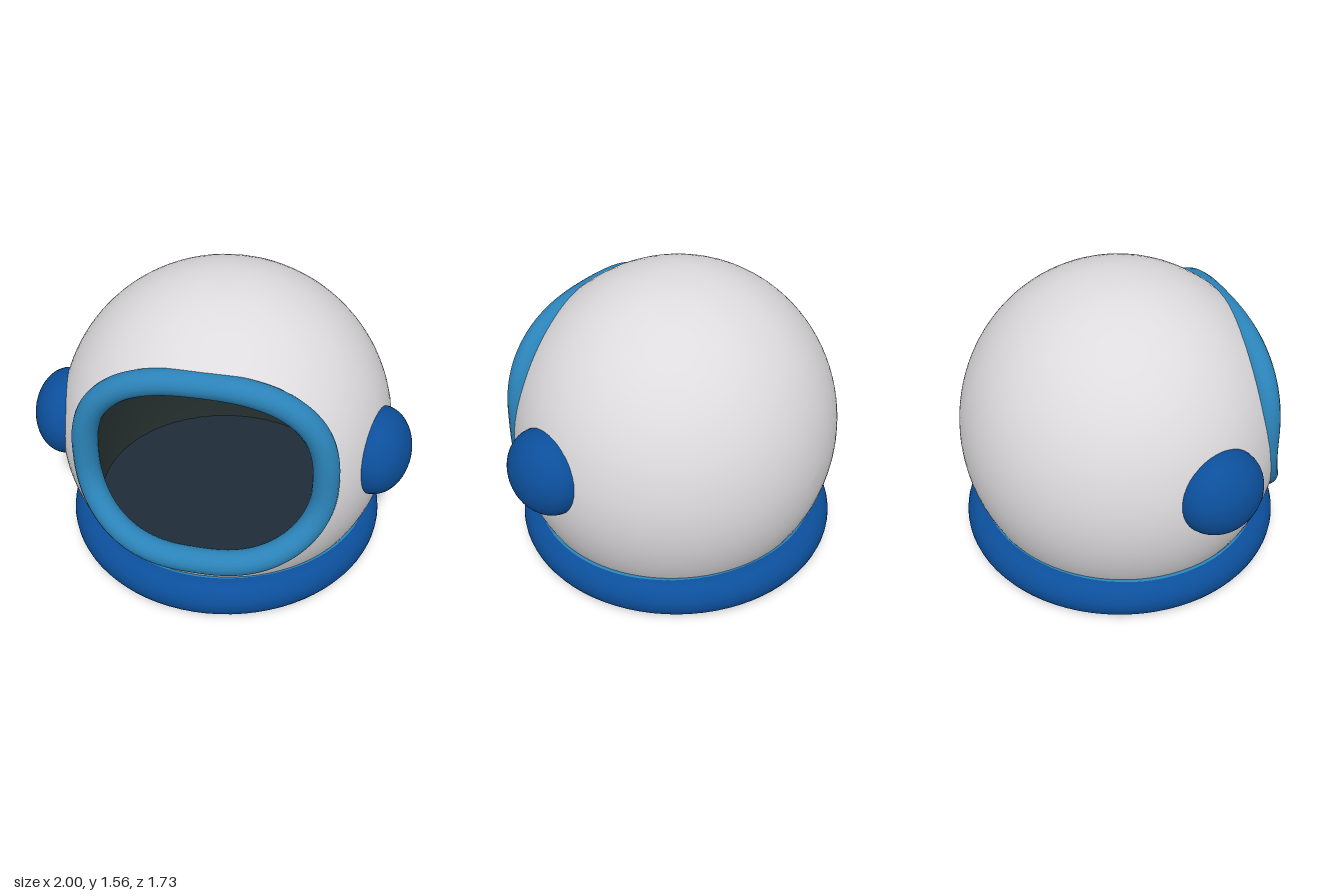
import * as THREE from 'three';

const mat = (name, color, side = THREE.FrontSide) => {
  const m = new THREE.MeshStandardMaterial({ color, side });
  m.name = name;
  return m;
};

// Ellipsoid that the whole helmet follows
const CENTRE_Y = 0.66, RX = 0.888, RY = 0.9, RZ = 0.86;
const BASE_Y = 0.12;

// Face opening outline: a rounded rectangle in x and y
function outline(t) {
  const c = Math.cos(t), s = Math.sin(t), e = 2 / 2.6;
  const py = Math.sign(s) * Math.abs(s) ** e;
  const x = 0.607 * Math.sign(c) * Math.abs(c) ** e;
  const y = 0.79 + (py > 0 ? 0.495 : 0.44) * py;
  return [x, y];
}

// Rim path: upright in the upper half, sweeping forward to the chin
function rimPoint(t) {
  const [x, y] = outline(t);
  const drop = Math.max(0, (0.8 - y) / 0.45);
  return new THREE.Vector3(x, y, 0.56 + 0.21 * drop ** 2.6);
}

// Loops that grow from the opening to the back pole, cut flat at the base
function shellGeometry(scale) {
  const around = 96, rings = 40, pos = [], idx = [];
  for (let i = 0; i <= rings; i++) {
    for (let j = 0; j < around; j++) {
      const [px, py] = outline((j / around) * Math.PI * 2);
      const ux = px / RX, uy = (py - CENTRE_Y) / RY;
      const phi = Math.atan2(uy, ux);
      const start = Math.asin(Math.hypot(ux, uy));
      const th = start + (Math.PI - start) * (i / rings);
      const y = CENTRE_Y + scale * RY * Math.sin(th) * Math.sin(phi);
      pos.push(
        scale * RX * Math.sin(th) * Math.cos(phi),
        Math.max(y, BASE_Y),
        scale * RZ * Math.cos(th)
      );
      if (i < rings) {
        const k = (j + 1) % around;
        const a = i * around + j, b = i * around + k;
        const c = a + around, d = b + around;
        idx.push(a, c, b, b, c, d);
      }
    }
  }
  const g = new THREE.BufferGeometry();
  g.setAttribute('position', new THREE.Float32BufferAttribute(pos, 3));
  g.setIndex(idx);
  g.computeVertexNormals();
  return g;
}

export function createModel() {
  const white = mat('shell white', 0xdddbdd);
  const blue = mat('deep blue', 0x0c4f9b, THREE.DoubleSide);
  const sky = mat('rim blue', 0x2b83b8);
  const dark = mat('lining black', 0x1f2928, THREE.BackSide);
  const slate = mat('floor slate', 0x1f2d39);

  const group = new THREE.Group();
  group.name = 'helmet';
  const add = (name, geometry, material) => {
    const m = new THREE.Mesh(geometry, material);
    m.name = name;
    group.add(m);
    return m;
  };

  // Outer shell and the dark lining seen through the opening
  add('shell', shellGeometry(1), white);
  add('lining', shellGeometry(0.98), dark);
  const floor = add('innerFloor', new THREE.CircleGeometry(0.73, 64), slate);
  floor.rotation.x = -Math.PI / 2;
  floor.position.y = 0.155;

  // Padded rim around the opening
  const path = [];
  for (let i = 0; i < 64; i++) path.push(rimPoint((i / 64) * Math.PI * 2));
  const curve = new THREE.CatmullRomCurve3(path, true);
  add('openingRim', new THREE.TubeGeometry(curve, 128, 0.066, 16, true), sky);

  // Rounded neck ring, with a slightly recessed underside
  const profile = [new THREE.Vector2(0.7, 0.01)];
  for (let i = 0; i <= 14; i++) {
    const a = -Math.PI / 2 + (Math.PI * i) / 14;
    profile.push(new THREE.Vector2(0.76 + 0.104 * Math.cos(a), 0.11 + 0.11 * Math.sin(a)));
  }
  add('neckRing', new THREE.LatheGeometry(profile, 80), blue);
  const underside = add('underside', new THREE.CircleGeometry(0.7, 80), blue);
  underside.rotation.x = Math.PI / 2;
  underside.position.y = 0.01;

  // Thin seal between neck ring and shell
  const seal = add('neckSeal', new THREE.TorusGeometry(0.775, 0.018, 8, 80), sky);
  seal.rotation.x = Math.PI / 2;
  seal.scale.y = 0.97;
  seal.position.y = 0.204;

  // Domed ear caps, leaning along the shell's surface
  const dome = new THREE.SphereGeometry(1, 40, 20, 0, Math.PI * 2, 0, Math.PI * 0.62);
  for (const side of [1, -1]) {
    const cap = add(side > 0 ? 'leftEarCap' : 'rightEarCap', dome, blue);
    cap.scale.set(0.224, 0.172, 0.235);
    cap.position.set(side * 0.825, 0.747, 0.2);
    const axis = new THREE.Vector3(side, 0.11, 0.22).normalize();
    cap.quaternion.setFromUnitVectors(new THREE.Vector3(0, 1, 0), axis);
  }

  return group;
}
